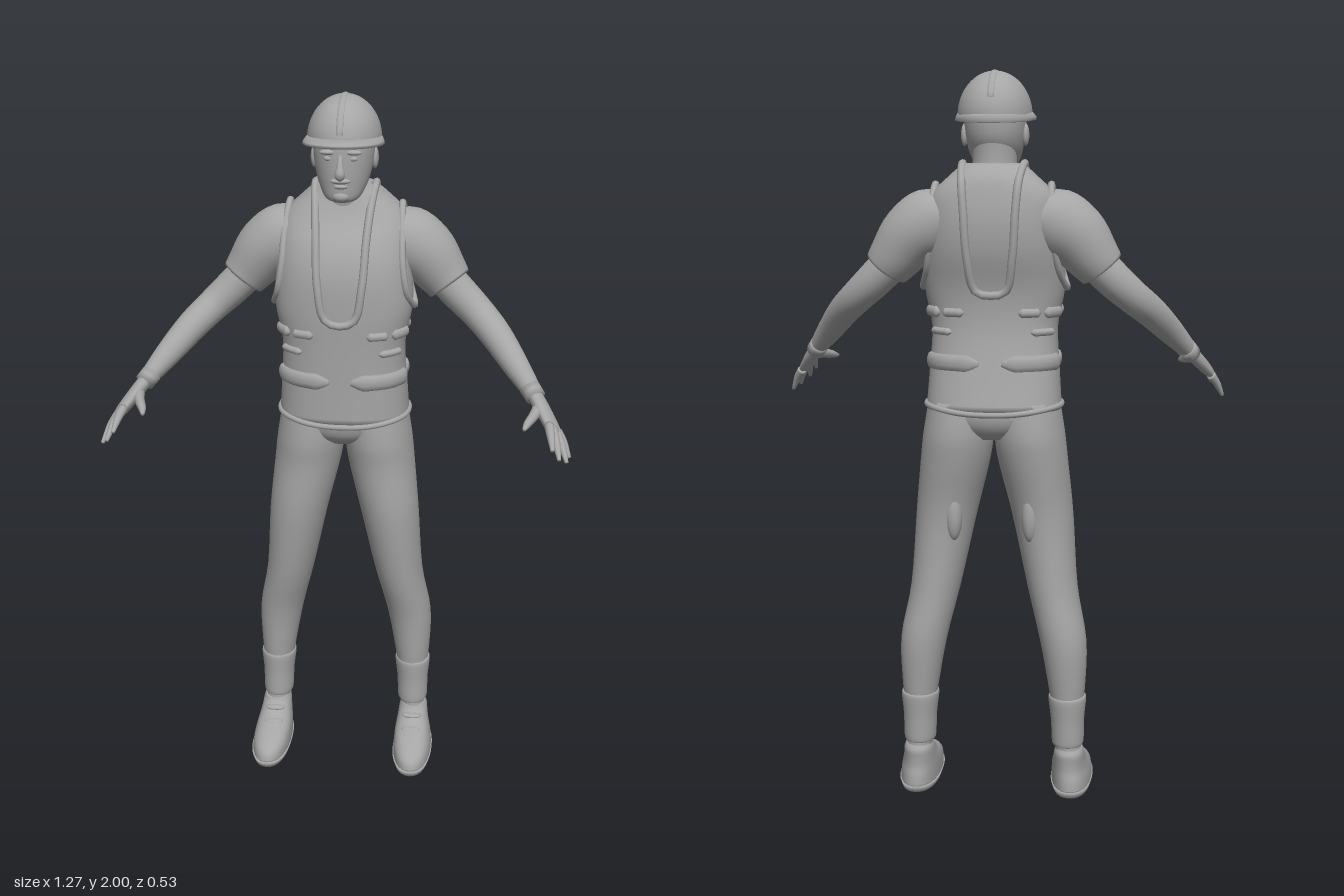
import * as THREE from 'three';

const grey = new THREE.MeshStandardMaterial({ color: 0xa6a6a6 });
grey.name = 'plain grey';
const V = (x, y, z) => new THREE.Vector3(x, y, z);

// Smoothly resample rows of numbers with a Catmull-Rom rule
function resample(rows, steps) {
  const out = [];
  const n = rows.length - 1;
  for (let i = 0; i < n; i++) {
    const a = rows[Math.max(i - 1, 0)], b = rows[i], c = rows[i + 1], d = rows[Math.min(i + 2, n)];
    for (let k = 0; k < steps; k++) {
      const t = k / steps;
      out.push(b.map((_, m) => b[m] + 0.5 * t * (c[m] - a[m] + t * (2 * a[m] - 5 * b[m] + 4 * c[m] - d[m]
        + t * (3 * (b[m] - c[m]) + d[m] - a[m])))));
    }
  }
  out.push(rows[n]);
  return out;
}

// Skin a list of closed rings and cap both ends
function skin(rings) {
  const n = rings[0].length, pos = [], idx = [];
  rings.forEach(r => r.forEach(p => pos.push(p.x, p.y, p.z)));
  for (let i = 0; i < rings.length - 1; i++) {
    for (let j = 0; j < n; j++) {
      const a = i * n + j, b = i * n + (j + 1) % n;
      idx.push(a, b, b + n, a, b + n, a + n);
    }
  }
  [0, rings.length - 1].forEach((r, end) => {
    const c = rings[r].reduce((s, p) => s.add(p), V(0, 0, 0)).divideScalar(n);
    const k = pos.length / 3;
    pos.push(c.x, c.y, c.z);
    for (let j = 0; j < n; j++) {
      const a = r * n + j, b = r * n + (j + 1) % n;
      if (end) idx.push(k, a, b); else idx.push(k, b, a);
    }
  });
  const g = new THREE.BufferGeometry();
  g.setAttribute('position', new THREE.Float32BufferAttribute(pos, 3));
  g.setIndex(idx);
  g.computeVertexNormals();
  return g;
}

const bend = (v, p) => Math.sign(v) * Math.abs(v) ** (2 / p);
const onRing = ([y, cx, cz, rx, rz], a, p) => V(cx + rx * bend(Math.sin(a), p), y, cz + rz * bend(Math.cos(a), p));

// Upright form: rows of [y, cx, cz, rx, rz]
function upright(rows, { p = 2, seg = 32, steps = 4 } = {}) {
  return skin(resample(rows, steps).map(r =>
    Array.from({ length: seg }, (_, j) => onRing(r, j / seg * Math.PI * 2, p))));
}

// Limb along a path: rows of [x, y, z, thickness, breadth = thickness]; ref is the breadth direction
function limb(rows, { ref = V(0, 0, 1), seg = 16, steps = 4 } = {}) {
  const pts = resample(rows.map(([x, y, z, thick, broad = thick]) => [x, y, z, thick, broad]), steps);
  const at = i => V(...pts[i].slice(0, 3));
  return skin(pts.map((r, i) => {
    const t = at(Math.min(i + 1, pts.length - 1)).sub(at(Math.max(i - 1, 0))).normalize();
    const v = ref.clone().addScaledVector(t, -ref.dot(t)).normalize();
    const u = t.clone().cross(v);
    return Array.from({ length: seg }, (_, j) => {
      const a = j / seg * Math.PI * 2;
      return at(i).addScaledVector(u, r[3] * Math.sin(a)).addScaledVector(v, r[4] * Math.cos(a));
    });
  }));
}

const loop = (pts, r) => new THREE.TubeGeometry(new THREE.CatmullRomCurve3(pts, true), 80, r, 8, true);

const VEST = [
  [1.1, 0, -0.12, 0.185, 0.14], [1.2, 0, -0.108, 0.178, 0.13], [1.32, 0, -0.095, 0.172, 0.122],
  [1.42, 0, -0.095, 0.19, 0.127], [1.52, 0, -0.11, 0.19, 0.14], [1.6, 0, -0.125, 0.183, 0.133],
  [1.67, 0, -0.142, 0.168, 0.108], [1.72, 0, -0.145, 0.12, 0.09], [1.755, 0, -0.135, 0.08, 0.07],
];
const vestRows = resample(VEST, 12);
const rowAt = y => vestRows.reduce((b, r) => Math.abs(r[0] - y) < Math.abs(b[0] - y) ? r : b);
// Point on the front (f = 1) or back (f = -1) of the vest
function onVest(x, y, f) {
  const [, , cz, rx, rz] = rowAt(y);
  const k = Math.max(0, 1 - Math.abs(x / rx) ** 2.4) ** (1 / 2.4);
  return V(x, y, cz + f * (rz * k + 0.002));
}

export function createModel() {
  const model = new THREE.Group();
  model.name = 'worker';
  const add = (name, geometry) => {
    const m = new THREE.Mesh(geometry, grey);
    m.name = name;
    model.add(m);
    return m;
  };
  const ball = (name, x, y, z, rx, ry, rz) => {
    const m = add(name, new THREE.SphereGeometry(1, 16, 12));
    m.position.set(x, y, z);
    m.scale.set(rx, ry, rz);
  };

  // Vest with hem, straps and neck trim
  add('vest', upright(VEST, { p: 2.4, seg: 48 }));
  add('vestHem', loop(Array.from({ length: 32 }, (_, j) => {
    const a = j / 32 * Math.PI * 2;
    const q = onRing(rowAt(1.11), a, 2.4);
    q.y -= 0.015 * Math.abs(Math.cos(a)) ** 3;
    return q;
  }), 0.008));
  const strap = (name, y, a0, a1, h) => add(name, limb(Array.from({ length: 9 }, (_, i) => {
    const q = onRing(rowAt(y), a0 + (a1 - a0) * i / 8, 2.4);
    const w = i % 8 ? 1 : 0.3;
    return [q.x, q.y, q.z, 0.011 * w, h * w];
  }), { ref: V(0, 1, 0), seg: 10, steps: 3 }));
  for (const c of [0, Math.PI]) {
    for (const s of [-1, 1]) {
      strap('waistStrap', 1.225, c + s * 0.12, c + s * 1.5, 0.023);
      strap('chestStrap', 1.365, c + s * 0.35, c + s * 0.75, 0.012);
      strap('chestStrap', 1.36, c + s * 0.85, c + s * 1.4, 0.015);
      strap('pocketFlap', 1.315, c + s * 0.6, c + s * 1.2, 0.01);
    }
  }
  const edge = [[0.04, 1.41], [0.06, 1.5], [0.068, 1.62], [0.075, 1.7]];
  const half = s => [
    ...edge.map(([x, y]) => onVest(s * x, y, 1)), V(s * 0.083, 1.755, -0.13),
    ...[...edge].reverse().map(([x, y]) => onVest(s * x, y + 0.01, -1)),
  ];
  add('neckTrim', loop([onVest(0, 1.395, 1), ...half(1), onVest(0, 1.41, -1), ...half(-1).reverse()], 0.011));

  // Neck and head
  add('neck', upright([[1.68, 0, -0.125, 0.07, 0.07], [1.75, 0, -0.11, 0.06, 0.066], [1.84, 0, -0.11, 0.06, 0.068]]));
  add('head', upright([
    [1.724, 0, -0.035, 0.025, 0.022], [1.735, 0, -0.045, 0.047, 0.045], [1.77, 0, -0.07, 0.066, 0.075],
    [1.81, 0, -0.085, 0.077, 0.093], [1.86, 0, -0.09, 0.083, 0.098], [1.92, 0, -0.09, 0.08, 0.095],
  ]));
  add('nose', limb([[0, 1.852, 0.003, 0.006], [0, 1.825, 0.015, 0.009], [0, 1.803, 0.018, 0.014], [0, 1.795, 0.008, 0.008]]));
  ball('moustache', 0, 1.785, 0.003, 0.028, 0.008, 0.012);
  ball('lips', 0, 1.77, 0, 0.02, 0.007, 0.011);
  ball('chin', 0, 1.742, -0.01, 0.024, 0.016, 0.018);
  for (const s of [-1, 1]) {
    ball('ear', s * 0.082, 1.83, -0.1, 0.01, 0.03, 0.018);
    ball('eye', s * 0.032, 1.843, -0.004, 0.013, 0.007, 0.008);
    ball('brow', s * 0.034, 1.86, 0, 0.022, 0.007, 0.01);
  }

  // Hard hat: dome, sloping brim and ridge
  const dome = add('hatDome', new THREE.SphereGeometry(1, 40, 16, 0, Math.PI * 2, 0, Math.PI / 2));
  dome.position.set(0, 1.88, -0.097);
  dome.scale.set(0.1, 0.117, 0.128);
  const brim = upright([
    [1.868, 0, -0.095, 0.1, 0.125], [1.87, 0, -0.077, 0.109, 0.147],
    [1.878, 0, -0.077, 0.108, 0.146], [1.89, 0, -0.095, 0.1, 0.128],
  ], { seg: 40, steps: 1 });
  const bp = brim.attributes.position;
  for (let i = 0; i < bp.count; i++) bp.setY(i, bp.getY(i) + 0.075 * (bp.getZ(i) + 0.08));
  brim.computeVertexNormals();
  add('hatBrim', brim);
  add('hatRidge', limb(Array.from({ length: 11 }, (_, i) => {
    const a = 0.25 + i / 10 * 2.5;
    return [0, 1.88 + 0.114 * Math.sin(a), -0.097 + 0.126 * Math.cos(a), 0.006, 0.01];
  }), { ref: V(1, 0, 0), seg: 10, steps: 2 }));

  // Trousers
  add('trouserSeat', upright([
    [1.02, 0, -0.125, 0.09, 0.08], [1.05, 0, -0.122, 0.15, 0.115], [1.1, 0, -0.12, 0.178, 0.128], [1.18, 0, -0.11, 0.165, 0.115],
  ]));

  for (const s of [-1, 1]) {
    const side = s > 0 ? 'left' : 'right';
    const flip = rows => rows.map(([x, ...r]) => [s * x, ...r]);
    const legs = rows => rows.map(([y, x, ...r]) => [y, s * x, ...r]);

    add(side + 'Armhole', loop([
      V(s * 0.155, 1.7, -0.145), onVest(s * 0.16, 1.64, 1), onVest(s * 0.165, 1.55, 1), onVest(s * 0.178, 1.47, 1),
      V(s * 0.196, 1.425, -0.1), onVest(s * 0.178, 1.47, -1), onVest(s * 0.165, 1.55, -1), onVest(s * 0.16, 1.64, -1),
    ], 0.01));

    // Sleeve and arm
    add(side + 'Sleeve', limb(flip([
      [0.1, 1.62, -0.14, 0.06, 0.08], [0.165, 1.6, -0.142, 0.092, 0.09], [0.22, 1.565, -0.142, 0.087, 0.088],
      [0.265, 1.51, -0.14, 0.073, 0.075], [0.29, 1.478, -0.135, 0.064, 0.066],
    ]), { seg: 24 }));
    add(side + 'Arm', limb(flip([
      [0.25, 1.52, -0.14, 0.052], [0.32, 1.45, -0.132, 0.05, 0.052], [0.375, 1.4, -0.11, 0.046, 0.048],
      [0.425, 1.355, -0.06, 0.043, 0.045], [0.48, 1.295, 0.008, 0.036], [0.535, 1.232, 0.07, 0.024, 0.029],
    ]), { seg: 20 }));
    add(side + 'Cuff', limb(flip([
      [0.52, 1.249, 0.054, 0.028, 0.032], [0.538, 1.228, 0.075, 0.027, 0.033],
    ]), { steps: 2 }));

    // Hand with four fingers and a thumb
    const spread = V(s * 0.05, -0.055, -0.1);
    add(side + 'Palm', limb(flip([
      [0.53, 1.238, 0.064, 0.02, 0.024], [0.556, 1.208, 0.108, 0.019, 0.035],
      [0.582, 1.177, 0.158, 0.016, 0.038], [0.59, 1.167, 0.174, 0.01, 0.03],
    ]), { ref: spread }));
    const fingers = [
      [[0.573, 1.19, 0.178], [0.583, 1.15, 0.262]], [[0.583, 1.178, 0.168], [0.602, 1.125, 0.262]],
      [[0.592, 1.167, 0.155], [0.623, 1.105, 0.228]], [[0.597, 1.158, 0.138], [0.632, 1.096, 0.17]],
    ];
    for (const [a, b] of fingers) {
      const mid = a.map((v, i) => v * 0.5 + b[i] * 0.5 + (i === 1 ? 0.006 : 0));
      add(side + 'Finger', limb(flip([[...a, 0.013], [...mid, 0.011], [...b, 0.005]]), { ref: spread, seg: 10 }));
    }
    add(side + 'Thumb', limb(flip([
      [0.55, 1.215, 0.095, 0.018], [0.533, 1.206, 0.155, 0.014], [0.517, 1.198, 0.195, 0.011], [0.508, 1.192, 0.226, 0.005],
    ]), { ref: spread, seg: 10 }));

    // Trouser leg, thigh patch, gaiter and shoe
    add(side + 'Leg', upright(legs([
      [0.24, 0.208, -0.145, 0.042, 0.053], [0.32, 0.206, -0.146, 0.052, 0.062], [0.45, 0.195, -0.145, 0.065, 0.075],
      [0.6, 0.163, -0.123, 0.07, 0.088], [0.8, 0.134, -0.108, 0.085, 0.103], [0.95, 0.108, -0.12, 0.096, 0.118],
      [1.03, 0.098, -0.122, 0.097, 0.127], [1.12, 0.09, -0.12, 0.09, 0.12],
    ])));
    ball(side + 'ThighPatch', s * 0.105, 0.81, -0.19, 0.024, 0.075, 0.027);
    add(side + 'Gaiter', upright(legs([
      [0.145, 0.21, -0.143, 0.04, 0.05], [0.155, 0.21, -0.143, 0.045, 0.055], [0.22, 0.209, -0.145, 0.047, 0.057],
      [0.28, 0.208, -0.146, 0.053, 0.062], [0.29, 0.208, -0.146, 0.048, 0.057],
    ])));
    add(side + 'Ankle', upright(legs([[0.08, 0.215, -0.14, 0.037, 0.05], [0.17, 0.21, -0.143, 0.036, 0.045]])));
    add(side + 'Sole', upright(legs([[0, 0.218, -0.055, 0.054, 0.143], [0.018, 0.218, -0.055, 0.06, 0.15]]), { p: 2.3, steps: 1 }));
    add(side + 'Shoe', upright(legs([
      [0.016, 0.218, -0.056, 0.057, 0.146], [0.045, 0.217, -0.06, 0.056, 0.14], [0.07, 0.215, -0.08, 0.052, 0.115],
      [0.095, 0.214, -0.115, 0.046, 0.08], [0.12, 0.214, -0.137, 0.042, 0.06], [0.135, 0.214, -0.14, 0.036, 0.05],
    ]), { p: 2.2 }));
    for (const k of [0, 1]) ball(side + 'Lace', s * 0.213, 0.088 + k * 0.025, -0.035 - k * 0.04, 0.03, 0.008, 0.014);
  }
  return model;
}
